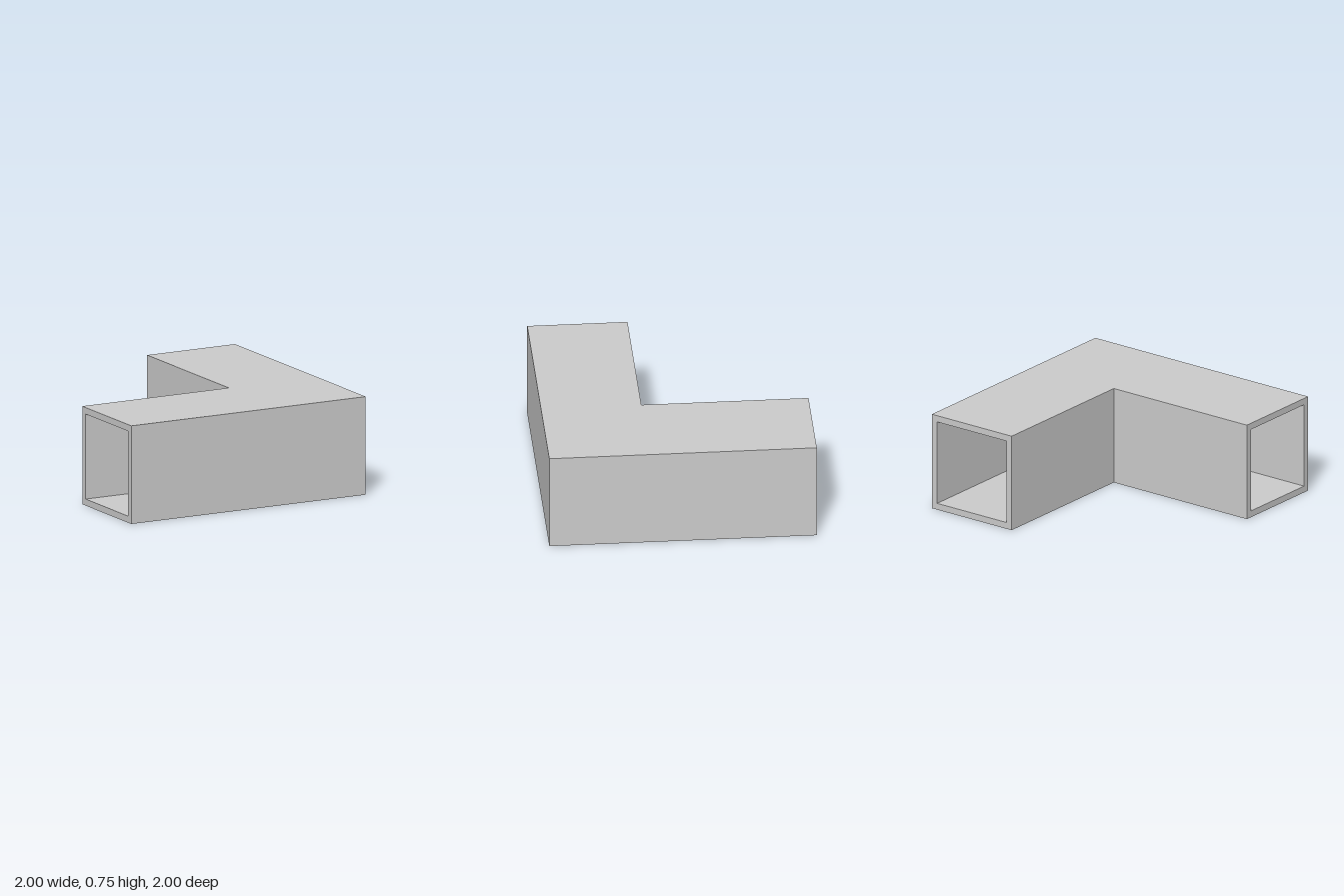
import * as THREE from 'three';

const SIZE = 0.75; // outer side of the square duct
const WALL = 0.05; // wall thickness

// Square section as [distance from the outer side of the bend, height]
function squareLoop(inset) {
  const a = inset, b = SIZE - inset;
  return [[a, a], [b, a], [b, b], [a, b]];
}

// The section placed at the left-hand end, the mitred corner and the back end
const stations = [
  ([d, y]) => [-1, y, 1 - d],
  ([d, y]) => [1 - d, y, 1 - d],
  ([d, y]) => [1 - d, y, -1],
];

function createDuctGeometry() {
  const positions = [];
  const quad = (a, b, c, d, flip = false) => {
    const corners = flip ? [a, c, b, a, d, c] : [a, b, c, a, c, d];
    corners.forEach((p) => positions.push(...p));
  };
  const outer = squareLoop(0);
  const inner = squareLoop(WALL);

  for (let i = 0; i < 4; i++) {
    const j = (i + 1) % 4;

    // Outer skin and inward-facing lining along both arms
    for (let s = 0; s < 2; s++) {
      const [from, to] = [stations[s], stations[s + 1]];
      quad(from(outer[i]), from(outer[j]), to(outer[j]), to(outer[i]));
      quad(from(inner[i]), from(inner[j]), to(inner[j]), to(inner[i]), true);
    }

    // Rims around the two open ends
    for (const s of [0, 2]) {
      const at = stations[s];
      quad(at(outer[i]), at(inner[i]), at(inner[j]), at(outer[j]), s === 2);
    }
  }

  const geometry = new THREE.BufferGeometry();
  geometry.setAttribute('position', new THREE.Float32BufferAttribute(positions, 3));
  geometry.computeVertexNormals();
  return geometry;
}

export function createModel() {
  const group = new THREE.Group();
  group.name = 'cornerDuct';

  const material = new THREE.MeshStandardMaterial({ color: 0xcccccc, flatShading: true });
  const duct = new THREE.Mesh(createDuctGeometry(), material);
  duct.name = 'hollowElbow';
  group.add(duct);

  return group;
}
